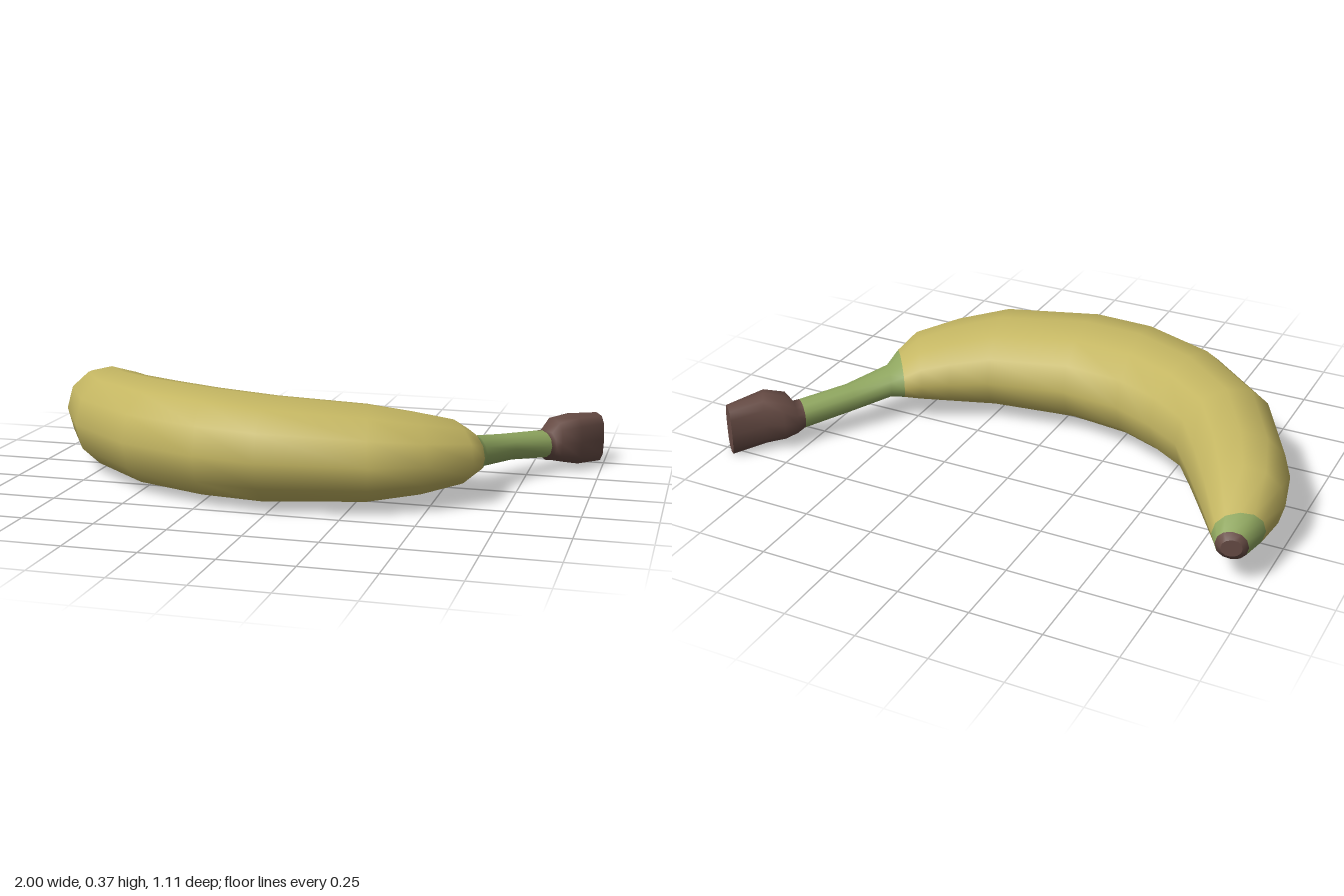
import * as THREE from 'three';

const SIDES = 12;

// Cross-sections from blossom tip to stem end:
// outer edge x, z, inner edge x, z, bottom y, top y
const SECTIONS = [
  [-0.95, -0.525, -0.885, -0.547, 0.12, 0.18],
  [-0.965, -0.51, -0.86, -0.53, 0.10, 0.20],
  [-0.985, -0.41, -0.835, -0.495, 0.085, 0.23],
  [-1.0, -0.27, -0.72, -0.325, 0.045, 0.305],
  [-0.96, -0.1, -0.63, -0.19, 0.02, 0.335],
  [-0.8, 0.19, -0.545, -0.075, 0.01, 0.36],
  [-0.53, 0.42, -0.42, 0.0, 0.005, 0.37],
  [-0.24, 0.53, -0.27, 0.065, 0.005, 0.37],
  [-0.02, 0.555, -0.05, 0.095, 0.005, 0.36],
  [0.34, 0.49, 0.23, 0.045, 0.015, 0.335],
  [0.51, 0.38, 0.36, -0.01, 0.03, 0.30],
  [0.64, 0.24, 0.45, -0.05, 0.05, 0.265],
  [0.66, 0.13, 0.51, -0.07, 0.07, 0.22],
  [0.655, 0.04, 0.56, -0.08, 0.08, 0.185],
  [0.73, -0.14, 0.64, -0.20, 0.07, 0.165],
  [0.835, -0.285, 0.75, -0.36, 0.05, 0.15],
  [0.85, -0.30, 0.765, -0.385, 0.035, 0.15],
  [0.87, -0.305, 0.79, -0.435, 0.03, 0.185],
  [0.935, -0.345, 0.85, -0.47, 0.015, 0.20],
  [1.0, -0.49, 0.93, -0.555, 0.0, 0.185],
];

// Points of one oval ring; squareness below 1 makes it boxier
function ringPoints([ox, oz, ix, iz, y0, y1], squareness) {
  const bend = (v) => Math.sign(v) * Math.pow(Math.abs(v), squareness);
  return Array.from({ length: SIDES }, (_, j) => {
    const a = (j / SIDES) * Math.PI * 2;
    const c = bend(Math.cos(a)) / 2;
    const s = bend(Math.sin(a)) / 2;
    return new THREE.Vector3(
      (ox + ix) / 2 + (ox - ix) * c,
      (y0 + y1) / 2 + (y1 - y0) * s,
      (oz + iz) / 2 + (oz - iz) * c,
    );
  });
}

// Triangle indices for the skin between two rings
function skinIndex(from, to) {
  const index = [];
  for (let i = from; i < to; i++) {
    for (let j = 0; j < SIDES; j++) {
      const k = (j + 1) % SIDES;
      const a = i * SIDES + j, b = i * SIDES + k;
      const c = a + SIDES, d = b + SIDES;
      index.push(a, c, b, b, c, d);
    }
  }
  return index;
}

// Flat end closing a ring
function capGeometry(points, atStart) {
  const centre = new THREE.Vector3();
  points.forEach((p) => centre.addScaledVector(p, 1 / SIDES));
  const tris = [];
  points.forEach((p, j) => {
    const q = points[(j + 1) % SIDES];
    tris.push(centre, ...(atStart ? [p, q] : [q, p]));
  });
  const geometry = new THREE.BufferGeometry().setFromPoints(tris);
  geometry.computeVertexNormals();
  return geometry;
}

export function createModel() {
  const group = new THREE.Group();
  const material = (name, color) => {
    const m = new THREE.MeshStandardMaterial({ color });
    m.name = name;
    return m;
  };
  const yellow = material('ripe yellow', 0xc4b662);
  const green = material('unripe green', 0x8fa65f);
  const brown = material('dry brown', 0x664b44);

  const rings = SECTIONS.map((s, i) => ringPoints(s, i >= 17 ? 0.7 : 0.95));
  const last = rings.length - 1;

  // One smooth skin whose normals are shared by every coloured part
  const skin = new THREE.BufferGeometry().setFromPoints(rings.flat());
  skin.setIndex(skinIndex(0, last));
  skin.computeVertexNormals();

  const add = (name, geometry, mat) => {
    const mesh = new THREE.Mesh(geometry, mat);
    mesh.name = name;
    group.add(mesh);
  };
  const addSkin = (name, from, to, mat) => {
    const geometry = new THREE.BufferGeometry();
    geometry.setAttribute('position', skin.getAttribute('position'));
    geometry.setAttribute('normal', skin.getAttribute('normal'));
    geometry.setIndex(skinIndex(from, to));
    add(name, geometry, mat);
  };

  addSkin('blossomTip', 0, 1, brown);
  addSkin('tipCollar', 1, 2, green);
  addSkin('fruitBody', 2, 12, yellow);
  addSkin('stem', 12, 15, green);
  addSkin('stemEnd', 15, last, brown);
  add('blossomTipCap', capGeometry(rings[0], true), brown);
  add('stemEndCap', capGeometry(rings[last], false), brown);

  return group;
}
